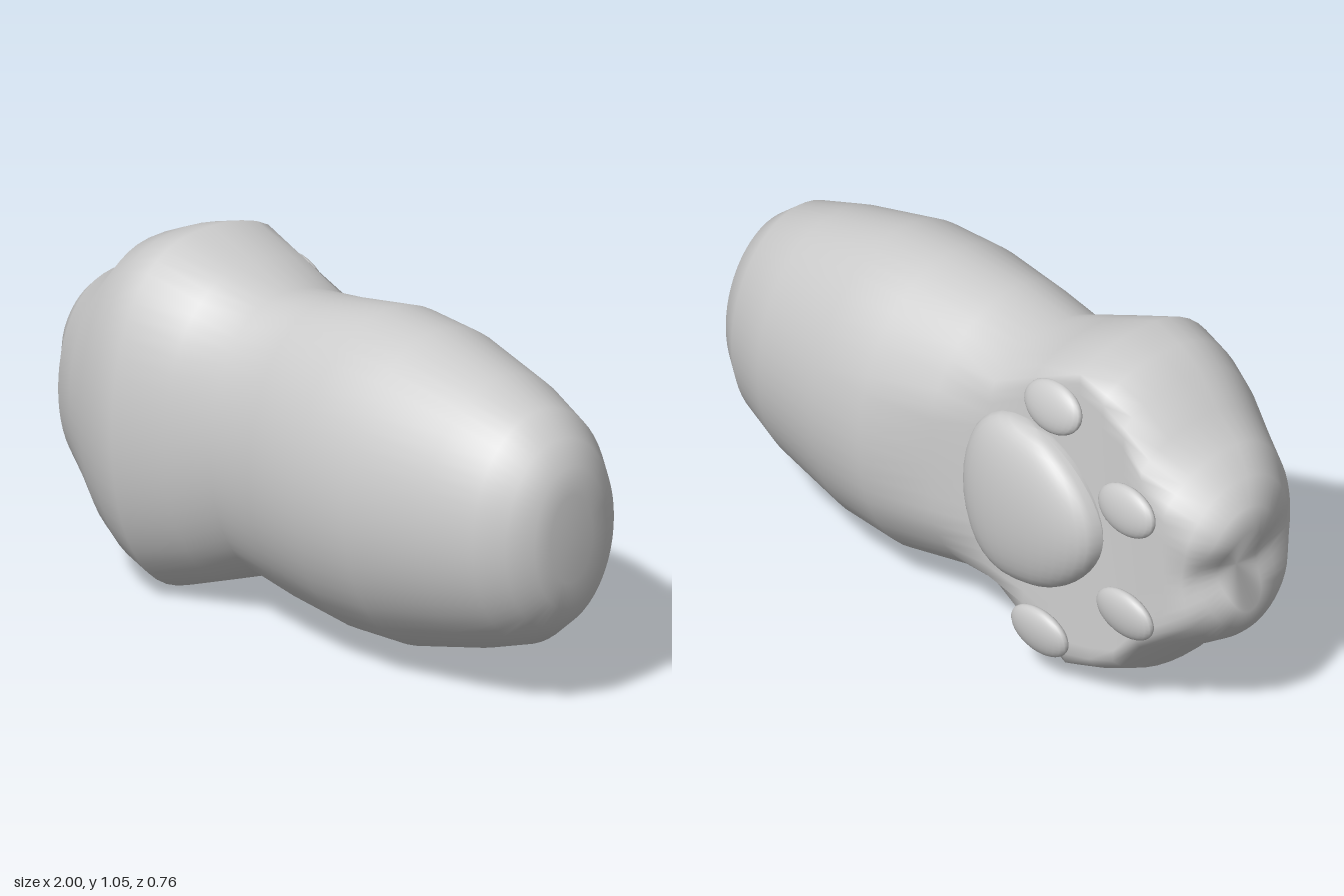
import * as THREE from 'three';

const MID = 0.527; // height of the long axis
const grey = new THREE.MeshStandardMaterial({ color: 0xcccccc });

// Cross-sections: x, half height, front z, back z of the full oval,
// back z where the oval is cut flat, roundness of the front (1 = ellipse)
const SECTIONS = [
  [0.995, 0.13, 0.07, -0.09, -0.09, 1],
  [0.985, 0.21, 0.12, -0.15, -0.15, 1],
  [0.94, 0.28, 0.19, -0.22, -0.22, 1],
  [0.86, 0.345, 0.24, -0.275, -0.275, 1],
  [0.7, 0.4, 0.29, -0.33, -0.33, 1],
  [0.44, 0.465, 0.34, -0.375, -0.375, 1],
  [0.24, 0.475, 0.345, -0.385, -0.385, 1],
  [0.02, 0.445, 0.315, -0.345, -0.315, 0.95],
  [-0.16, 0.415, 0.29, -0.39, -0.27, 0.9],
  [-0.3, 0.465, 0.335, -0.46, -0.25, 0.8],
  [-0.47, 0.525, 0.38, -0.51, -0.25, 0.72],
  [-0.57, 0.495, 0.36, -0.48, -0.25, 0.72],
  [-0.66, 0.455, 0.325, -0.45, -0.25, 0.75],
  [-0.74, 0.365, 0.29, -0.39, -0.25, 0.75],
  [-0.84, 0.305, 0.24, -0.32, -0.25, 0.8],
  [-0.92, 0.25, 0.17, -0.26, -0.235, 0.85],
  [-0.97, 0.19, 0.085, -0.2, -0.2, 1],
  [-1.0, 0.13, 0.01, -0.14, -0.14, 1],
];

// Lofted cushion body with a notch between the two middle toes
function bodyGeometry(sides = 56) {
  const pos = [], idx = [];
  pos.push(1, MID, -0.01);
  for (const [x, h, front, back, flat, round] of SECTIONS) {
    const c = Math.min(0, (front + flat) / 2);
    for (let j = 0; j < sides; j++) {
      const a = (j / sides) * Math.PI * 2;
      const y = h * Math.sin(a), k = Math.cos(a);
      // the paw's flat back leans slightly
      const cut = flat + 0.3 * (flat - back) * y;
      const z = k > 0 ? c + (front - c) * Math.pow(k, round) : Math.max(c - (back - c) * k, cut);
      const tip = THREE.MathUtils.smoothstep(-x, 0.86, 1);
      const notch = 0.06 * tip * Math.exp(-Math.pow(y / 0.08, 2));
      pos.push(x + notch, MID + y, z);
    }
  }
  pos.push(-0.94, MID, -0.065);
  const last = pos.length / 3 - 1, n = SECTIONS.length;
  for (let j = 0; j < sides; j++) {
    const k = (j + 1) % sides;
    idx.push(0, 1 + k, 1 + j);
    for (let i = 0; i < n - 1; i++) {
      const a = 1 + i * sides + j, b = 1 + i * sides + k;
      idx.push(a, b, a + sides, b, b + sides, a + sides);
    }
    idx.push(last, 1 + (n - 1) * sides + j, 1 + (n - 1) * sides + k);
  }
  const g = new THREE.BufferGeometry();
  g.setAttribute('position', new THREE.Float32BufferAttribute(pos, 3));
  g.setIndex(idx);
  g.computeVertexNormals();
  return g;
}

// Large palm pad: a flattened dome, wide by the arm and narrow by the toes
function palmGeometry() {
  const g = new THREE.SphereGeometry(1, 32, 20);
  const p = g.attributes.position;
  const swell = (t, e) => Math.sign(t) * Math.pow(Math.abs(t), e);
  for (let i = 0; i < p.count; i++) {
    const u = p.getX(i), v = p.getY(i), w = p.getZ(i);
    p.setXYZ(i, 0.265 * swell(u, 0.85), v * (0.25 + 0.07 * u), 0.1 * swell(w, 0.8));
  }
  g.computeVertexNormals();
  return g;
}

export function createModel() {
  const group = new THREE.Group();
  const add = (name, geometry, x, y, z) => {
    const m = new THREE.Mesh(geometry, grey);
    m.name = name;
    m.position.set(x, y, z);
    group.add(m);
    return m;
  };

  add('cushionBody', bodyGeometry(), 0, 0, 0);
  add('palmPad', palmGeometry(), -0.335, MID, -0.25);

  // Toe pads: x, y, z, tilt about x
  const toeGeometry = new THREE.SphereGeometry(1, 24, 16).scale(0.11, 0.075, 0.033);
  const toes = [
    ['upperOuterToePad', -0.39, 0.87, -0.24, 0.25],
    ['upperInnerToePad', -0.71, 0.685, -0.265, 0.1],
    ['lowerInnerToePad', -0.71, 0.35, -0.272, -0.1],
    ['lowerOuterToePad', -0.39, 0.16, -0.292, -0.12],
  ];
  for (const [name, x, y, z, tilt] of toes) add(name, toeGeometry, x, y, z).rotation.x = tilt;

  return group;
}
